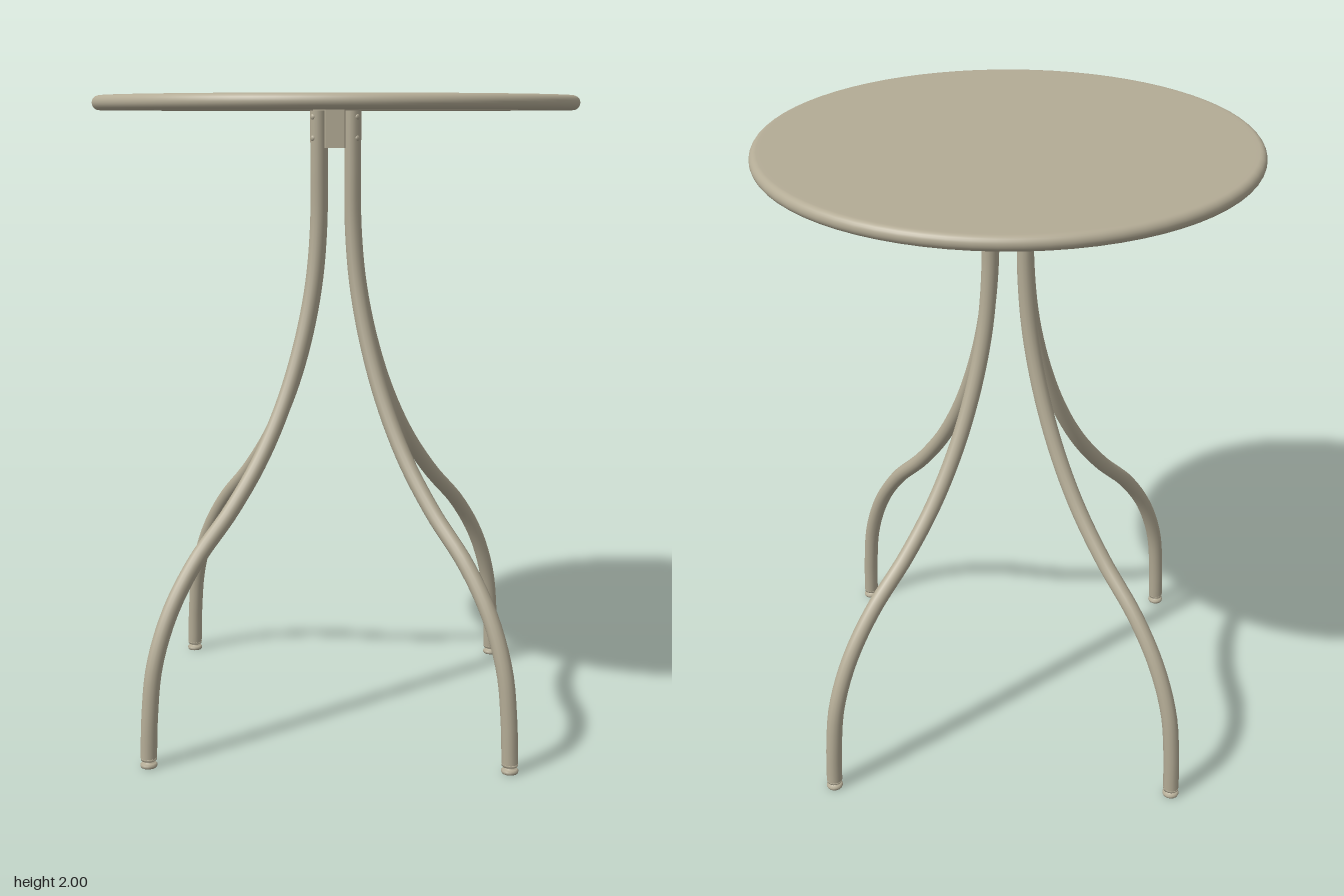
import * as THREE from 'three';

export function createModel() {
  const model = new THREE.Group();
  model.name = 'bistroTable';
  const paint = new THREE.MeshStandardMaterial({ color: 0xb3ab95 });
  paint.name = 'beige paint';
  const paintOpen = new THREE.MeshStandardMaterial({ color: 0xb3ab95, side: THREE.DoubleSide });
  paintOpen.name = 'beige sheet paint';

  const add = (parent, name, geometry, x = 0, y = 0, z = 0, material = paint) => {
    const mesh = new THREE.Mesh(geometry, material);
    mesh.name = name;
    mesh.position.set(x, y, z);
    parent.add(mesh);
    return mesh;
  };

  // Round top with a rolled rim and recessed underside
  const profile = [[0, 1.983], [0.714, 1.983], [0.714, 1.962], [0.72, 1.956]];
  for (let i = 0; i <= 12; i++) {
    const a = -Math.PI / 2 + (i / 12) * Math.PI;
    profile.push([0.733 + Math.cos(a) * 0.0225, 1.9775 + Math.sin(a) * 0.0225]);
  }
  profile.push([0.72, 2], [0, 2]);
  add(model, 'tableTop', new THREE.LatheGeometry(profile.map(p => new THREE.Vector2(...p)), 72));

  // Open eight-sided hub that the legs bolt onto
  const hub = new THREE.CylinderGeometry(0.076, 0.076, 0.143, 8, 1, true).toNonIndexed();
  hub.rotateY(Math.PI / 8);
  hub.computeVertexNormals();
  add(model, 'hub', hub, 0, 1.9115, 0, paintOpen);

  // Sweep of one leg, in radius and height
  const path = new THREE.CatmullRomCurve3([
    [0.075, 1.955], [0.075, 1.78], [0.077, 1.6], [0.098, 1.42], [0.145, 1.24], [0.22, 1.055],
    [0.32, 0.885], [0.44, 0.74], [0.58, 0.605], [0.68, 0.465], [0.742, 0.31], [0.763, 0.16], [0.77, 0.028],
  ].map(([r, y]) => new THREE.Vector3(r, y, 0)));
  const tube = new THREE.TubeGeometry(path, 56, 0.025, 14);
  const foot = new THREE.LatheGeometry(
    [[0, 0], [0.024, 0], [0.026, 0.004], [0.026, 0.009], [0.022, 0.013], [0.012, 0.014],
      [0.012, 0.021], [0.024, 0.022], [0.025, 0.03], [0, 0.03]].map(p => new THREE.Vector2(...p)), 16);
  const bolt = new THREE.SphereGeometry(0.009, 10, 6);
  const arm = new THREE.BoxGeometry(0.57, 0.024, 0.032);

  for (let i = 0; i < 4; i++) {
    // Leg with its glide and two bolts
    const leg = new THREE.Group();
    leg.name = 'leg' + (i + 1);
    leg.rotation.y = i * Math.PI / 2;
    add(leg, 'legTube', tube);
    add(leg, 'footGlide', foot, 0.77, 0, 0);
    for (const y of [1.87, 1.935]) add(leg, 'bolt', bolt, 0.098, y, 0).scale.x = 0.6;
    model.add(leg);

    // Support arm under the top, set between the legs
    const support = new THREE.Group();
    support.name = 'support' + (i + 1);
    support.rotation.y = (i + 0.5) * Math.PI / 2;
    add(support, 'supportArm', arm, 0.345, 1.971, 0);
    model.add(support);
  }
  return model;
}
